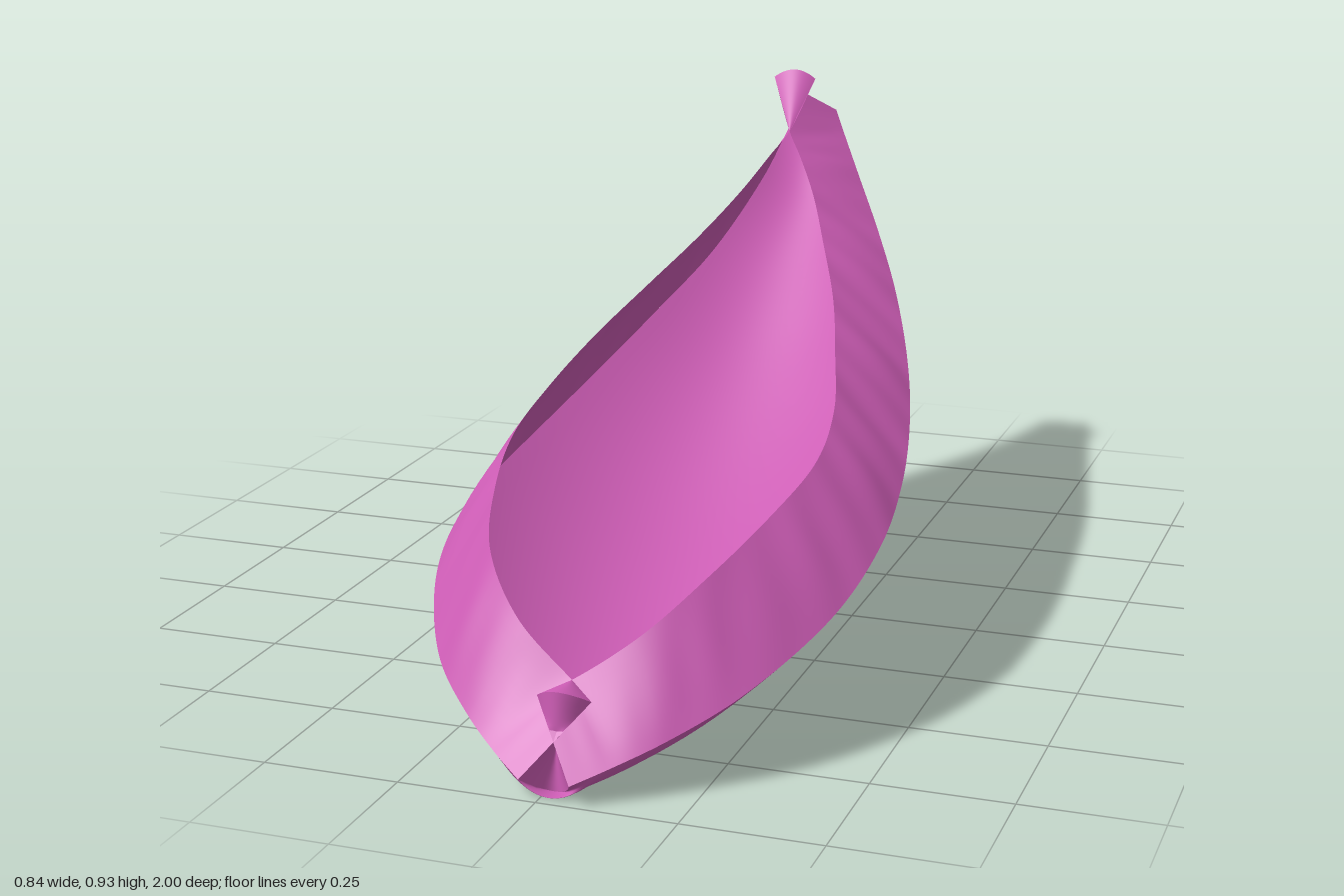
import * as THREE from 'three';

const V = (x, y, z) => new THREE.Vector3(x, y, z);
const material = new THREE.MeshStandardMaterial({ color: 0xcc5cb4, side: THREE.DoubleSide });

// Stations from back to front:
// outer edge z, y at -x, y at +x, x at -x, x at +x | keel y | inner edge z, y, x of -x lip, x of +x lip
// The inner edges meet one station before each end and cross over beyond it.
const stations = [
  [-1.0, 0.81, 0.825, -0.185, -0.09, 0.81, -0.885, 0.912, -0.105, -0.2],
  [-0.93, 0.775, 0.785, -0.188, -0.05, 0.76, -0.76, 0.815, -0.125, -0.125],
  [-0.8, 0.7, 0.725, -0.198, 0.02, 0.66, -0.68, 0.775, -0.143, -0.075],
  [-0.6, 0.575, 0.64, -0.245, 0.125, 0.52, -0.55, 0.72, -0.165, -0.005],
  [-0.4, 0.48, 0.56, -0.305, 0.22, 0.39, -0.38, 0.655, -0.2, 0.07],
  [-0.2, 0.395, 0.475, -0.362, 0.3, 0.28, -0.2, 0.59, -0.245, 0.145],
  [0.0, 0.33, 0.41, -0.403, 0.36, 0.19, 0.0, 0.53, -0.282, 0.21],
  [0.2, 0.288, 0.35, -0.42, 0.4, 0.12, 0.19, 0.475, -0.302, 0.265],
  [0.4, 0.255, 0.295, -0.41, 0.415, 0.065, 0.37, 0.43, -0.3, 0.285],
  [0.6, 0.212, 0.228, -0.36, 0.385, 0.03, 0.54, 0.38, -0.265, 0.255],
  [0.8, 0.147, 0.15, -0.26, 0.29, 0.01, 0.71, 0.32, -0.2, 0.2],
  [0.9, 0.098, 0.098, -0.165, 0.195, 0.005, 0.82, 0.245, -0.1, 0.12],
  [0.96, 0.065, 0.065, -0.09, 0.12, 0.004, 0.87, 0.172, 0.015, 0.015],
  [1.0, 0.04, 0.04, -0.03, 0.06, 0.004, 0.9, 0.15, 0.062, -0.036],
];
const curve = (pick) => new THREE.CatmullRomCurve3(stations.map(pick));
const outer = { '-1': curve((s) => V(s[3], s[1], s[0])), 1: curve((s) => V(s[4], s[2], s[0])) };
const inner = { '-1': curve((s) => V(s[8], s[7], s[6])), 1: curve((s) => V(s[9], s[7], s[6])) };
const keel = curve((s) => V((s[3] + s[4]) / 2, s[5], Math.min(s[0], 0.95)));

// Smooth surface from a rule f(u, v), both 0..1
function surface(name, nu, nv, f) {
  const pos = [], index = [];
  for (let j = 0; j <= nv; j++)
    for (let i = 0; i <= nu; i++) pos.push(...f(i / nu, j / nv).toArray());
  for (let j = 0; j < nv; j++)
    for (let i = 0; i < nu; i++) {
      const a = j * (nu + 1) + i, b = a + 1, c = a + nu + 1, d = c + 1;
      index.push(a, b, c, b, d, c);
    }
  const g = new THREE.BufferGeometry();
  g.setAttribute('position', new THREE.Float32BufferAttribute(pos, 3));
  g.setIndex(index);
  g.computeVertexNormals();
  const mesh = new THREE.Mesh(g, material);
  mesh.name = name;
  return mesh;
}

// Parabola through edge, keel and edge at station t
function section(u, t) {
  const s = u * 2 - 1;
  return outer[-1].getPoint(t).multiplyScalar((s * (s - 1)) / 2)
    .addScaledVector(keel.getPoint(t), 1 - s * s)
    .addScaledVector(outer[1].getPoint(t), (s * (s + 1)) / 2);
}

// Turned-in rim, faintly wrinkled
function lip(side) {
  return surface(side > 0 ? 'leftLip' : 'rightLip', 8, 156, (u, v) => {
    const t = side > 0 ? v : 1 - v;
    const p = outer[side].getPoint(t).lerp(inner[side].getPoint(t), u);
    const crease = Math.sin(t * 83 + side) * Math.sin(t * 37 + 2 * side);
    const puff = Math.sin(Math.PI * u) * Math.sin(Math.PI * t) * (0.003 + 0.004 * crease);
    return p.add(V(side * puff, puff, 0));
  });
}

// Gathered tip: an hourglass end sheet twisted from hull to fan rim, and the fan itself
function tip(name, end, pinchStation, rimCrown) {
  const group = new THREE.Group();
  group.name = name;
  const pinch = inner[1].getPoint(pinchStation / (stations.length - 1));
  const rim = new THREE.QuadraticBezierCurve3(inner[1].getPoint(end), rimCrown, inner[-1].getPoint(end));
  group.add(surface(name + 'Fan', 24, 6, (u, v) => pinch.clone().lerp(rim.getPoint(u), v)));
  group.add(surface(name + 'End', 24, 12, (u, v) => section(u, end).lerp(rim.getPoint(1 - u), v)));
  return group;
}

export function createModel() {
  const model = new THREE.Group();
  model.name = 'petalBoat';
  model.add(surface('hull', 32, 91, section));
  model.add(lip(1), lip(-1));
  model.add(tip('backTip', 0, 1, V(-0.15, 0.95, -0.88)));
  model.add(tip('frontTip', 1, stations.length - 2, V(0.013, 0.195, 0.96)));
  return model;
}
